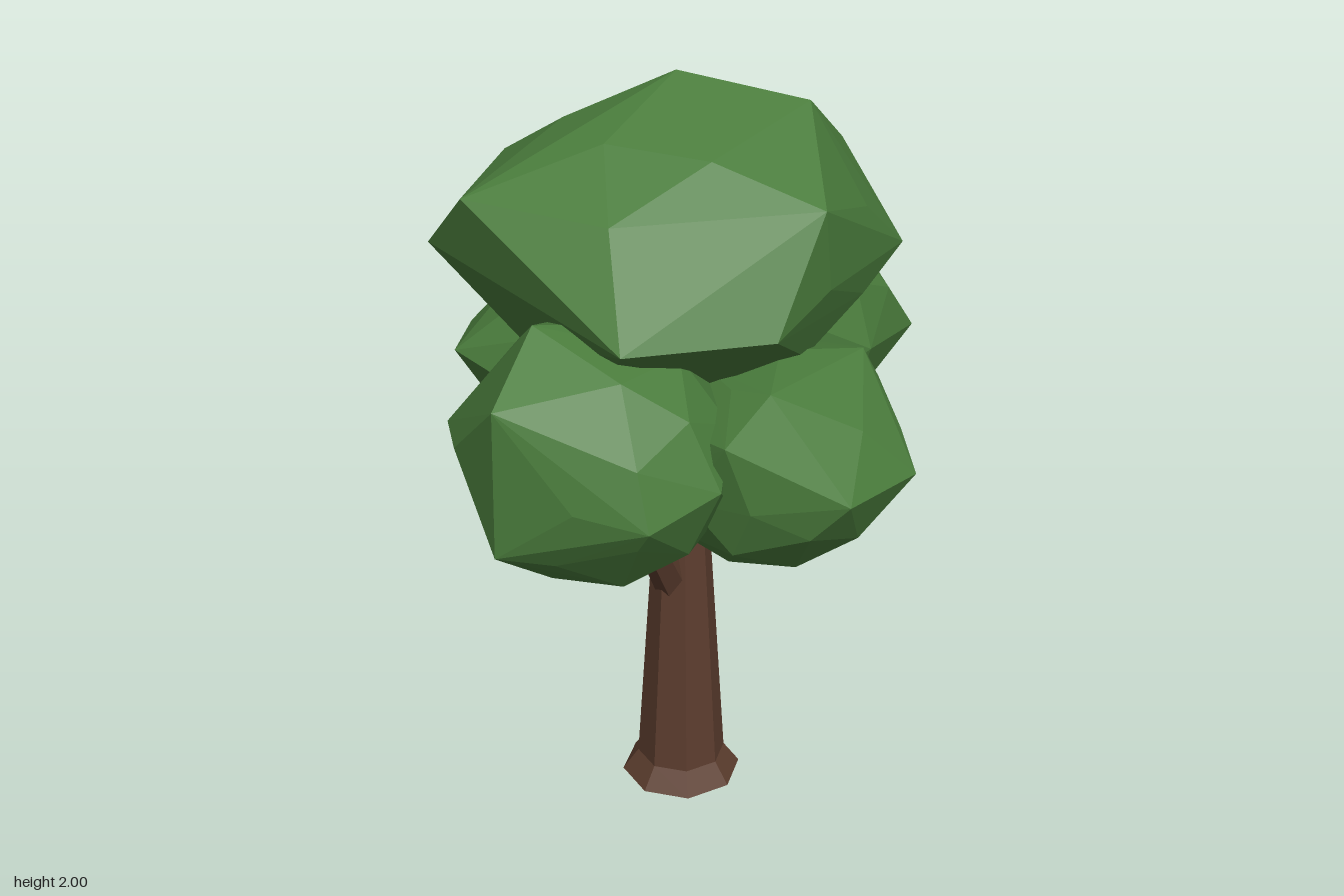
import * as THREE from 'three';
import { ConvexGeometry } from 'three/addons/geometries/ConvexGeometry.js';

const bark = new THREE.MeshStandardMaterial({ color: 0x5c3d2e, flatShading: true });
const leaves = new THREE.MeshStandardMaterial({ color: 0x4a7c3c, flatShading: true });

// Faceted leaf clump: an ellipsoid with a few corners pulled out of it
function makeClump(name, centre, radii, ...corners) {
  const middle = new THREE.Vector3(...centre);
  const size = new THREE.Vector3(...radii);
  const position = new THREE.IcosahedronGeometry(1, 1).getAttribute('position');
  const points = corners.map((corner) => new THREE.Vector3(...corner));
  for (let i = 0; i < position.count; i++) {
    points.push(new THREE.Vector3().fromBufferAttribute(position, i).multiply(size).add(middle));
  }
  const mesh = new THREE.Mesh(new ConvexGeometry(points), leaves);
  mesh.name = name;
  return mesh;
}

// Tapered six-sided limb between two points
function makeBranch(name, from, to) {
  const a = new THREE.Vector3(...from);
  const b = new THREE.Vector3(...to);
  const dir = b.clone().sub(a);
  const mesh = new THREE.Mesh(new THREE.CylinderGeometry(0.036, 0.052, dir.length(), 6), bark);
  mesh.name = name;
  mesh.position.copy(a).add(b).multiplyScalar(0.5);
  mesh.quaternion.setFromUnitVectors(new THREE.Vector3(0, 1, 0), dir.normalize());
  return mesh;
}

export function createModel() {
  const tree = new THREE.Group();
  tree.name = 'tree';

  // Eight-sided trunk with a flared foot, closed at both ends
  const profile = [[0, 0], [0.163, 0], [0.12, 0.06], [0.074, 0.795], [0, 0.795]]
    .map(([r, y]) => new THREE.Vector2(r, y));
  const trunk = new THREE.Mesh(new THREE.LatheGeometry(profile, 8), bark);
  trunk.name = 'trunk';
  trunk.position.set(0.016, 0, 0.012);
  trunk.rotation.y = 0.07;
  tree.add(trunk);

  // Branches reaching into the clumps
  tree.add(
    makeBranch('leftBranch', [0.05, 0.63, 0], [0.28, 1.04, -0.04]),
    makeBranch('rightBranch', [-0.01, 0.6, 0.01], [-0.27, 1.04, 0.07]),
    makeBranch('backBranch', [0.02, 0.67, -0.02], [0.05, 1.04, -0.22]),
  );

  // One large crown above four smaller clumps
  const foliage = new THREE.Group();
  foliage.name = 'foliage';
  foliage.add(
    makeClump('crownTop', [0.04, 1.57, -0.02], [0.5, 0.37, 0.48],
      [0.04, 2, -0.03], [0.22, 1.94, 0.24], [0, 1.78, 0.47], [-0.49, 1.77, -0.23],
      [-0.49, 1.52, 0.28], [-0.19, 1.52, 0.49], [0.5, 1.52, 0.33], [0.48, 1.76, 0.14],
      [0.58, 1.74, -0.15], [0.56, 1.55, -0.33], [0.27, 1.52, -0.53], [-0.08, 1.72, -0.51],
      [-0.44, 1.6, -0.41]),
    makeClump('rightClump', [-0.39, 1.19, 0.11], [0.32, 0.33, 0.34],
      [-0.54, 1.55, 0.05], [-0.75, 1.43, 0.13], [-0.75, 1.05, 0.12], [-0.69, 1.25, -0.07],
      [-0.56, 1.15, 0.43], [-0.37, 1.2, 0.48], [-0.54, 1.2, -0.26]),
    makeClump('leftClump', [0.4, 1.25, -0.06], [0.33, 0.32, 0.38],
      [0.55, 1.57, 0], [0.745, 1.27, -0.02], [0.69, 1.2, 0.24], [0.57, 1.2, -0.44],
      [0.61, 0.94, 0]),
    makeClump('frontClump', [-0.02, 1.13, 0.36], [0.34, 0.275, 0.3],
      [-0.2, 1.39, 0.48], [0.15, 1.39, 0.48], [-0.36, 1.31, 0.48], [-0.14, 1.14, 0.68],
      [0.1, 1.14, 0.69], [0.35, 1.14, 0.4]),
    makeClump('backClump', [0.1, 1.16, -0.36], [0.34, 0.28, 0.31],
      [-0.25, 1.2, -0.55], [-0.06, 1.18, -0.69], [0.18, 1.18, -0.69], [0.38, 1.25, -0.57]),
  );
  tree.add(foliage);
  return tree;
}
